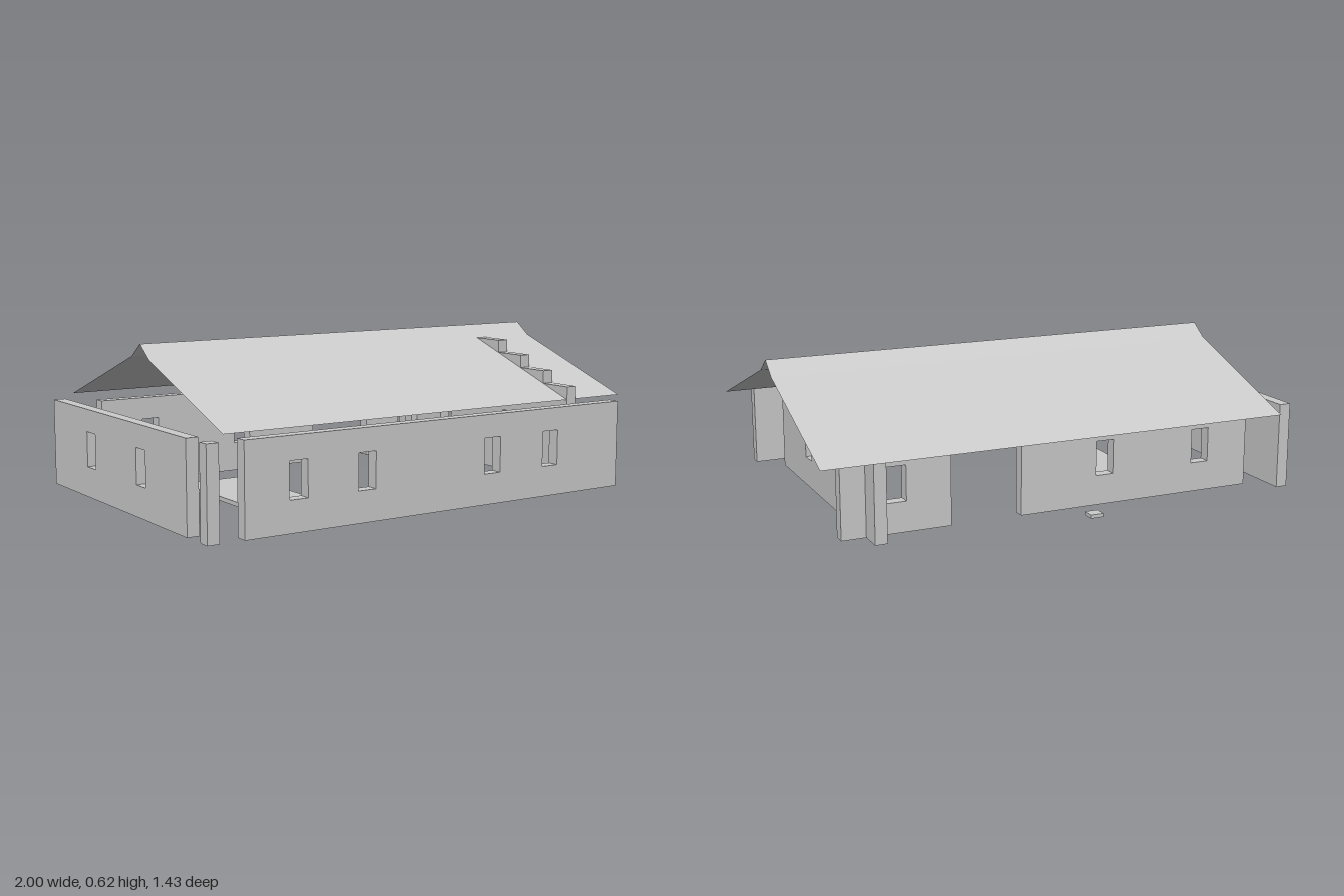
import * as THREE from 'three';

const U = 1 / 7;            // plan module
const T = U / 3;            // wall thickness
const Y0 = 0.017, Y1 = 0.36; // wall bottom and top
const STEP = 0.0514;        // gable step height

const material = new THREE.MeshStandardMaterial({ color: 0xcccccc, flatShading: true });
const sheet = new THREE.MeshStandardMaterial({ color: 0xcccccc, flatShading: true, side: THREE.DoubleSide });

// Upright slab from an outline in (along, y), pierced by windows at the given centres
function slab(name, outline, windows = []) {
  const shape = new THREE.Shape(outline.map(([a, y]) => new THREE.Vector2(a, y)));
  for (const c of windows) {
    const w = 0.0375, lo = 0.135, hi = 0.272;
    shape.holes.push(new THREE.Path([[c - w, lo], [c - w, hi], [c + w, hi], [c + w, lo]]
      .map(([a, y]) => new THREE.Vector2(a, y))));
  }
  const geometry = new THREE.ExtrudeGeometry(shape, { depth: T, bevelEnabled: false });
  const mesh = new THREE.Mesh(geometry, material);
  mesh.name = name;
  return mesh;
}

const rect = (a, b) => [[a, Y0], [b, Y0], [b, Y1], [a, Y1]];

// Wall running along x, with its back face at z
function wallX(name, x0, x1, z, windows) {
  const mesh = slab(name, rect(x0, x1), windows);
  mesh.position.z = z;
  return mesh;
}

// Wall running along z, with its left face at x
function wallZ(name, outline, x, windows) {
  const mesh = slab(name, outline, windows);
  mesh.geometry.rotateY(-Math.PI / 2);
  mesh.position.x = x;
  return mesh;
}

function box(name, x0, x1, y0, y1, z0, z1) {
  const mesh = new THREE.Mesh(new THREE.BoxGeometry(x1 - x0, y1 - y0, z1 - z0), material);
  mesh.position.set((x0 + x1) / 2, (y0 + y1) / 2, (z0 + z1) / 2);
  mesh.name = name;
  return mesh;
}

// Stepped outline: widths of 7, 5, 3 and 1 modules around the gable's middle
function gableOutline() {
  const middle = U / 2, front = [], back = [];
  for (let i = 0; i < 4; i++) {
    const half = (3.5 - i) * U;
    const bottom = i === 0 ? Y0 : Y1 + i * STEP, top = Y1 + (i + 1) * STEP;
    front.push([middle + half, bottom], [middle + half, top]);
    back.unshift([middle - half, top], [middle - half, bottom]);
  }
  return [...front, ...back];
}

// Thin roof panel between two points (z, y), spanning the roof's length
function roofPanel(name, [za, ya], [zb, yb]) {
  const x0 = -6 * U, x1 = 1;
  const geometry = new THREE.PlaneGeometry(x1 - x0, Math.hypot(za - zb, yb - ya));
  const mesh = new THREE.Mesh(geometry, sheet);
  mesh.rotation.x = Math.atan2(zb - za, yb - ya);
  mesh.position.set((x0 + x1) / 2, (ya + yb) / 2, (za + zb) / 2);
  mesh.name = name;
  return mesh;
}

export function createModel() {
  const house = new THREE.Group();
  house.name = 'house';

  // Long walls, front and back
  house.add(wallX('frontWall', -6 * U, 6 * U, 5 * U - T, [-4.5 * U, -2.5 * U, 1.5 * U, 3.5 * U]));
  house.add(wallX('backWall', -6 * U, U, -3 * U - T, [-4.5 * U, -1.5 * U]));
  house.add(wallX('backCornerWall', 3 * U, 6 * U, -3 * U - T, [4.5 * U]));

  // End walls
  house.add(wallZ('rightEndWall', rect(-4 * U, 4 * U), -1 + T, [-1.5 * U, 1.5 * U]));
  house.add(wallZ('steppedGable', gableOutline(), 5 * U + T, [-1.5 * U, 1.5 * U]));

  // Corner posts
  house.add(box('frontPost', -1, -1 + T, Y0, Y1, 5 * U - T, 5 * U));
  house.add(box('backPost', 5 * U, 5 * U + T, Y0, Y1, -4 * U, -3 * U - T));

  // Floor slab and small doorstep
  house.add(box('floorSlab', -4 * U, -2 * U, 0, Y0, -2 * U, 2 * U));
  house.add(box('doorstep', -0.133, -0.08, Y0, 0.031, -0.62, -4 * U));

  // Roof: two slopes joined by a steeper ridge cap
  const profile = [[4 * U, Y1], [0, 0.565], [-U / 2, 0.617], [-U, 0.565], [-5 * U, Y1]];
  ['frontRoof', 'frontRidgeCap', 'backRidgeCap', 'backRoof'].forEach((name, i) =>
    house.add(roofPanel(name, profile[i], profile[i + 1])));

  return house;
}
